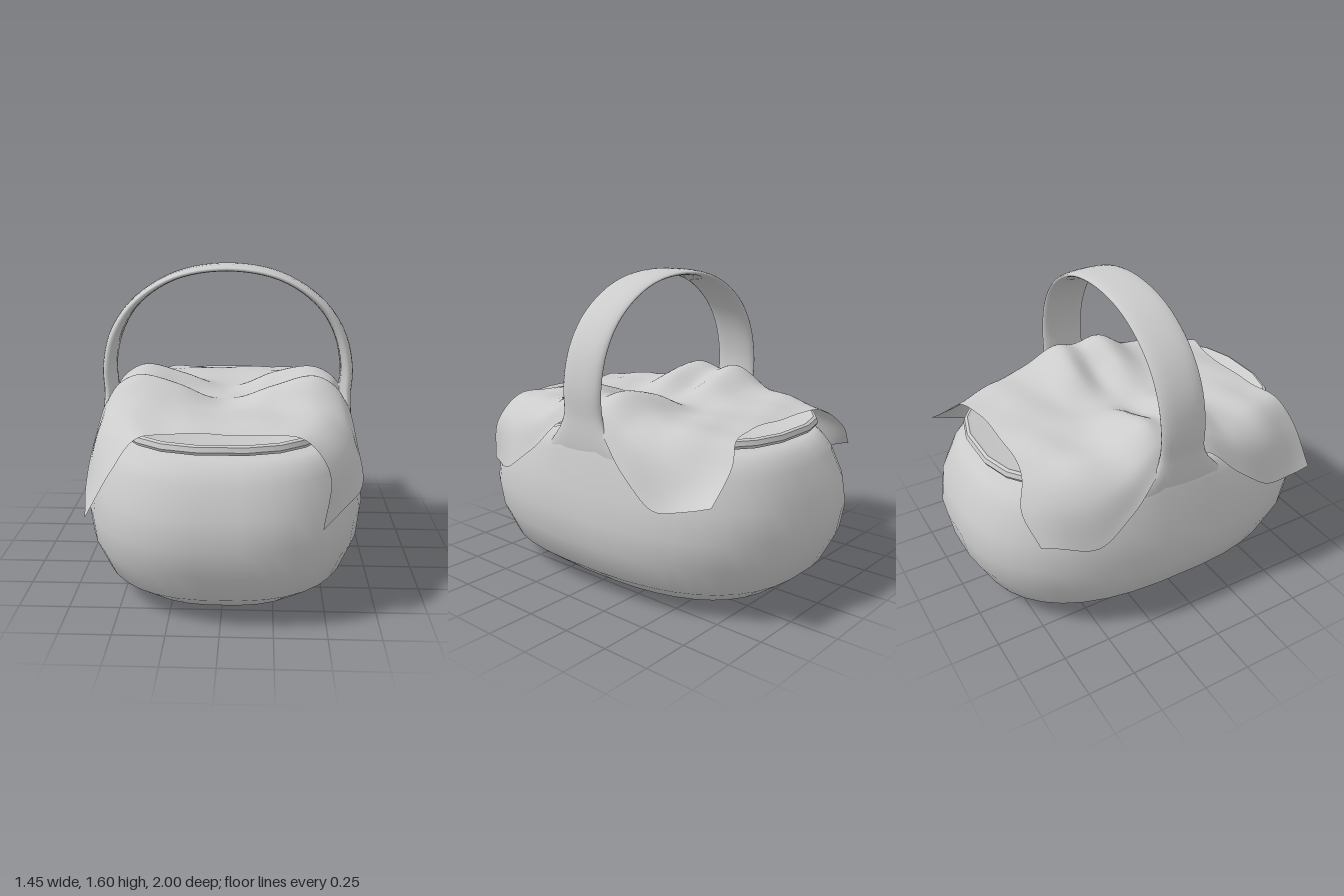
import * as THREE from 'three';
import { mergeVertices, toCreasedNormals } from 'three/addons/utils/BufferGeometryUtils.js';

const V = (x, y, z) => new THREE.Vector3(x, y, z);

// Smooth surface from a grid of points: at(s, t), s and t running 0..1
function grid(rows, cols, at) {
  const pos = [], idx = [];
  for (let i = 0; i <= rows; i++)
    for (let j = 0; j <= cols; j++) pos.push(...at(i / rows, j / cols).toArray());
  for (let i = 0; i < rows; i++)
    for (let j = 0; j < cols; j++) {
      const a = i * (cols + 1) + j, b = a + 1, c = a + cols + 1, d = c + 1;
      idx.push(a, b, c, b, d, c);
    }
  let g = new THREE.BufferGeometry();
  g.setAttribute('position', new THREE.Float32BufferAttribute(pos, 3));
  g.setIndex(idx);
  g = mergeVertices(g, 1e-5);
  g.computeVertexNormals();
  return g;
}

// Stacked rounded-oval rings; profile rows are [half width x, half length z, y]
function ovalStack(profile, segments, adjust = p => p) {
  const n = profile.length - 1;
  return grid(n, segments, (s, t) => {
    const [a, b, y] = profile[Math.round(s * n)];
    const ang = (Math.round(t * segments) % segments + 0.5) / segments * Math.PI * 2;
    const round = v => Math.sign(v) * Math.abs(v) ** (2 / 2.6);
    return adjust(V(a * round(Math.cos(ang)), y, -b * round(Math.sin(ang))));
  });
}

export function createModel() {
  const model = new THREE.Group();
  const grey = new THREE.MeshStandardMaterial({ color: 0xcccccc });
  const thin = new THREE.MeshStandardMaterial({ color: 0xcccccc, side: THREE.DoubleSide });
  const add = (name, geometry, material = grey) => {
    const mesh = new THREE.Mesh(geometry, material);
    mesh.name = name;
    model.add(mesh);
  };

  // Basket body, its shoulders swelling up towards the handle at both sides
  add('basketBody', ovalStack([
    [0, 0, 0], [0.36, 0.55, 0], [0.53, 0.78, 0.04], [0.65, 0.90, 0.13], [0.71, 0.975, 0.28],
    [0.725, 1, 0.42], [0.705, 0.98, 0.56], [0.665, 0.915, 0.70], [0.635, 0.87, 0.755],
    [0.60, 0.82, 0.795], [0.45, 0.65, 0.81], [0, 0, 0.81],
  ], 40, p => {
    const near = Math.exp(-(((p.z + 0.02) / 0.2) ** 2));
    const high = THREE.MathUtils.smoothstep(p.y, 0.55, 0.8);
    const side = THREE.MathUtils.smoothstep(Math.abs(p.x), 0.45, 0.6);
    p.y += 0.1 * near * high * side;
    p.x += Math.sign(p.x) * 0.02 * near * high * side;
    return p;
  }));

  // Flat lid with a bevelled rim
  add('lid', toCreasedNormals(ovalStack([
    [0, 0, 0.825], [0.55, 0.80, 0.825], [0.575, 0.84, 0.825], [0.58, 0.848, 0.84],
    [0.575, 0.84, 0.863], [0.56, 0.825, 0.87], [0.545, 0.81, 0.862], [0, 0, 0.862],
  ], 24), 0.6));

  // Hoop handle: oval section swept along an arch, widening at its feet
  const half = [[0.625, 0.66], [0.64, 0.8], [0.637, 0.92], [0.642, 1.05], [0.60, 1.235],
    [0.49, 1.40], [0.28, 1.535]];
  const arch = new THREE.CatmullRomCurve3([
    ...half.map(([x, y]) => V(x, y, 0)), V(0, 1.582, 0),
    ...half.slice().reverse().map(([x, y]) => V(-x, y, 0)),
  ]);
  add('handle', grid(56, 20, (s, t) => {
    const p = arch.getPointAt(s), d = arch.getTangentAt(s), ang = t * Math.PI * 2;
    const foot = 1 - THREE.MathUtils.smoothstep(p.y, 0.66, 0.98);
    const thick = 0.018 + 0.014 * THREE.MathUtils.smoothstep(1.6 - p.y, 0, 0.45);
    const width = 0.125 + 0.17 * foot ** 1.6;
    const out = Math.cos(ang) * thick;
    const across = Math.sign(Math.sin(ang)) * Math.abs(Math.sin(ang)) ** 0.75;
    return V(p.x + d.y * out, p.y - d.x * out, -0.02 - across * width);
  }));

  // Draped cloth: half sections from the middle out to the side edge,
  // set from under the handle to the front hem, then mirrored
  const sections = [
    [[0, 0.885, 0], [0.25, 0.92, 0], [0.45, 0.99, 0], [0.56, 0.97, 0], [0.61, 0.88, 0]],
    [[0, 0.89, 0.14], [0.25, 0.985, 0.14], [0.47, 1.03, 0.13], [0.58, 0.97, 0.13], [0.645, 0.87, 0.13]],
    [[0, 0.89, 0.32], [0.24, 0.91, 0.31], [0.46, 0.935, 0.3], [0.61, 0.87, 0.3], [0.685, 0.70, 0.32]],
    [[0, 0.905, 0.54], [0.25, 0.905, 0.54], [0.47, 0.90, 0.53], [0.61, 0.79, 0.52], [0.69, 0.57, 0.51]],
    [[0, 0.885, 0.715], [0.22, 0.885, 0.72], [0.39, 0.875, 0.76], [0.5, 0.74, 0.82], [0.6, 0.52, 0.86]],
  ];
  // The four loose corners hang differently
  const corner = (sx, sz) => sz > 0
    ? (sx > 0 ? V(0.47, 0.5, 0.9) : V(-0.63, 0.52, 0.85))
    : (sx > 0 ? V(0.69, 0.66, -0.85) : V(-0.635, 0.65, -0.79));
  const span = [-4, -3, -2, -1, 0, 1, 2, 3, 4];
  const strips = span.map(i => new THREE.CatmullRomCurve3(span.map(j => {
    const sx = Math.sign(j), sz = Math.sign(i), u = Math.abs(j), v = Math.abs(i);
    if (u === 4 && v === 4) return corner(sx, sz);
    const [x, y, z] = sections[v][u];
    const lift = sz < 0 && v === 4 && u === 3 ? 0.05 : 0;
    return V(x * sx, y + lift, z * sz);
  })));
  const columns = 64;
  const lengthwise = Array.from({ length: columns + 1 }, (_, j) =>
    new THREE.CatmullRomCurve3(strips.map(c => c.getPoint(j / columns))));
  add('cloth', grid(64, columns, (s, t) => {
    const p = lengthwise[Math.round(t * columns)].getPoint(s);
    // Soft creases
    p.y += 0.006 * Math.sin(p.x * 13 + p.z * 9) * Math.sin(p.z * 15 - p.x * 4);
    return p;
  }), thin);

  return model;
}
